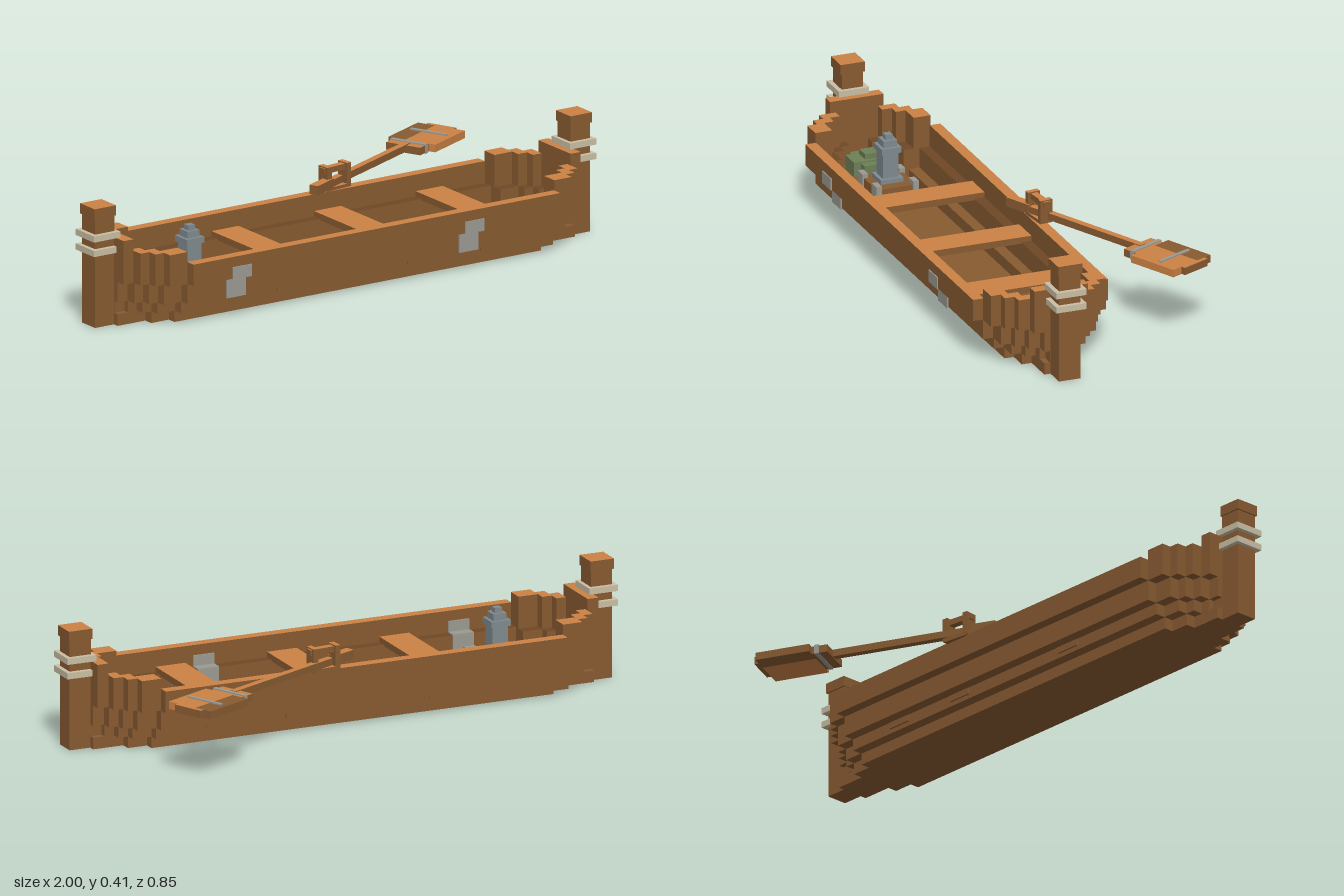
import * as THREE from 'three';

const paint = (name, color) => {
  const m = new THREE.MeshStandardMaterial({ color });
  m.name = name;
  return m;
};

export function createModel() {
  const wood = paint('brown wood', 0x885b31);
  const light = paint('light wood', 0xcb8145);
  const dark = paint('dark wood', 0x6e4826);
  const rope = paint('rope', 0xcabfa4);
  const iron = paint('iron', 0x9b9a92);
  const steel = paint('lantern steel', 0x7f8a8e);
  const green = paint('green cloth', 0x6d8055);

  // Box from its limits, with an optional separate top colour
  const box = (parent, name, [x0, x1], [y0, y1], [z0, z1], mat, top) => {
    const g = new THREE.BoxGeometry(x1 - x0, y1 - y0, z1 - z0);
    const mesh = new THREE.Mesh(g, top ? [mat, mat, top, mat, mat, mat] : mat);
    mesh.position.set((x0 + x1) / 2, (y0 + y1) / 2, (z0 + z1) / 2);
    mesh.name = name;
    parent.add(mesh);
    return mesh;
  };
  const span = (s, a, b) => (s > 0 ? [a, b] : [-b, -a]);

  const model = new THREE.Group();
  model.name = 'rowingBoat';
  const boat = new THREE.Group();
  boat.name = 'boat';
  boat.position.z = 0.185;
  model.add(boat);

  // Hull: four tiers, each stepping in towards the keel and the ends
  const ends = [0.73, 0.8, 0.835, 0.87, 0.91];
  const widths = [0.24, 0.205, 0.17, 0.135, 0.095];
  const tiers = [
    { y: [0.15, 0.225], inset: 0, top: light },
    { y: [0.08, 0.15], inset: 0.036, top: dark },
    { y: [0.04, 0.08], inset: 0.074, top: wood },
  ];
  tiers.forEach(({ y, inset, top }, k) => {
    for (const s of [-1, 1]) {
      const w = widths[0] - inset;
      box(boat, 'hullSide', [-ends[0], ends[0]], y, span(s, w - 0.038, w), wood, top);
      for (const e of [-1, 1]) {
        for (let i = 1; i < ends.length; i++) {
          const we = Math.max(widths[i] - inset, 0.04);
          const inner = i === 4 ? 0 : Math.max(we - 0.06, 0);
          const rise = k > 0 ? y[1] : i === 4 ? 0.3 : 0.26;
          box(boat, 'hullEndStep', span(e, ends[i - 1], ends[i]), [y[0], rise],
            span(s, inner, we), wood, top);
        }
      }
    }
  });
  // Floor
  box(boat, 'floor', [-0.73, 0.73], [0, 0.04], [-0.128, 0.128], wood);
  for (const e of [-1, 1]) {
    box(boat, 'floorEnd', span(e, 0.73, 0.8), [0, 0.04], [-0.095, 0.095], wood);
    box(boat, 'floorTip', span(e, 0.8, 0.91), [0, 0.04], [-0.06, 0.06], wood);
  }
  // Short battens low on each side
  for (const x of [-0.305, 0.215, 0.505])
    for (const s of [-1, 1])
      box(boat, 'batten', [x - 0.045, x + 0.045], [0.055, 0.077], span(s, 0.16, 0.172), wood);

  // End posts with caps and rope bands
  for (const e of [-1, 1]) {
    box(boat, 'endPost', span(e, 0.908, 0.985), [0, 0.375], [-0.038, 0.038], wood);
    box(boat, 'postCap', span(e, 0.905, 0.99), [0.375, 0.41], [-0.043, 0.043], wood, light);
    for (const y of [0.25, 0.3])
      box(boat, 'ropeBand', span(e, 0.895, 1), [y, y + 0.021], [-0.054, 0.054], rope);
  }

  // Seats
  for (const x of [-0.305, 0.103, 0.508])
    box(boat, 'seat', [x - 0.054, x + 0.054], [0.145, 0.168], [-0.203, 0.203], wood, light);

  // Iron repair patches stepping over the front side, inside and out
  for (const x of [-0.538, 0.388]) {
    const w = [x - 0.038, x + 0.038];
    box(boat, 'patchOuterUpper', w, [0.148, 0.19], [0.239, 0.244], iron);
    box(boat, 'patchOuterLower', w, [0.075, 0.15], [0.203, 0.209], iron);
    box(boat, 'patchInnerUpper', w, [0.15, 0.19], [0.197, 0.203], iron);
    box(boat, 'patchInnerLedge', w, [0.149, 0.154], [0.162, 0.203], iron);
    box(boat, 'patchInnerLower', w, [0.08, 0.15], [0.16, 0.167], iron);
    box(boat, 'patchLowLedge', w, [0.079, 0.084], [0.122, 0.166], iron);
  }

  // Crate with iron corners
  const cx = -0.58;
  box(boat, 'crate', [cx - 0.072, cx + 0.072], [0.04, 0.12], [-0.064, 0.076], wood);
  for (const a of [-1, 1])
    for (const b of [-1, 1])
      box(boat, 'crateCorner', [cx + a * 0.06 - 0.02, cx + a * 0.06 + 0.02], [0.04, 0.135],
        [0.006 + b * 0.066 - 0.01, 0.006 + b * 0.066 + 0.01], iron);
  // Lantern
  const lantern = [[0.04, 0.12, 0.135], [0.028, 0.135, 0.222], [0.035, 0.222, 0.242],
    [0.024, 0.242, 0.265], [0.013, 0.265, 0.282]];
  for (const [r, y0, y1] of lantern)
    box(boat, 'lantern', [cx - 0.007 - r, cx - 0.007 + r], [y0, y1], [0.006 - r, 0.006 + r], steel);

  // Folded green cloth at the left-hand end of the hull
  box(boat, 'clothBase', [-0.84, -0.705], [0.08, 0.125], [-0.05, 0.04], green);
  box(boat, 'clothFold', [-0.81, -0.735], [0.08, 0.13], [-0.08, 0.065], green);
  box(boat, 'clothTop', [-0.8, -0.75], [0.13, 0.148], [-0.03, 0.02], green);

  // Oar, laid across the back side
  const oar = new THREE.Group();
  oar.name = 'oar';
  oar.position.set(0.03, 0, 0.01);
  oar.rotation.y = 0.436;
  model.add(oar);
  box(oar, 'oarShaft', [0.09, 0.6], [0.236, 0.26], [-0.012, 0.012], wood, light);
  box(oar, 'oarGrip', [0, 0.1], [0.234, 0.266], [-0.016, 0.016], wood, light);
  const by = [0.231, 0.257];
  box(oar, 'bladeNeck', [0.575, 0.63], by, [-0.065, 0.065], wood, light);
  box(oar, 'bladeBack', [0.63, 0.82], by, [-0.09, -0.025], wood);
  box(oar, 'bladeFront', [0.63, 0.82], by, [-0.025, 0.09], light);
  box(oar, 'bladeTip', [0.82, 0.835], by, [-0.06, 0.05], wood, light);
  box(oar, 'bladeStrapNear', [0.605, 0.62], [0.229, 0.261], [-0.068, 0.068], iron);
  box(oar, 'bladeStrapFar', [0.735, 0.747], [0.255, 0.262], [-0.07, 0.07], iron);

  // Oarlock
  const lock = new THREE.Group();
  lock.name = 'oarlock';
  lock.position.set(0.152, 0, -0.045);
  lock.rotation.y = 0.12;
  model.add(lock);
  box(lock, 'lockBase', [-0.045, 0.045], [0.222, 0.236], [-0.022, 0.022], wood, light);
  for (const s of [-1, 1])
    box(lock, 'lockPost', span(s, 0.033, 0.052), [0.225, 0.307], [-0.022, 0.022], wood, light);
  box(lock, 'lockBar', [-0.058, 0.058], [0.283, 0.303], [-0.012, 0.012], wood, light);

  return model;
}
